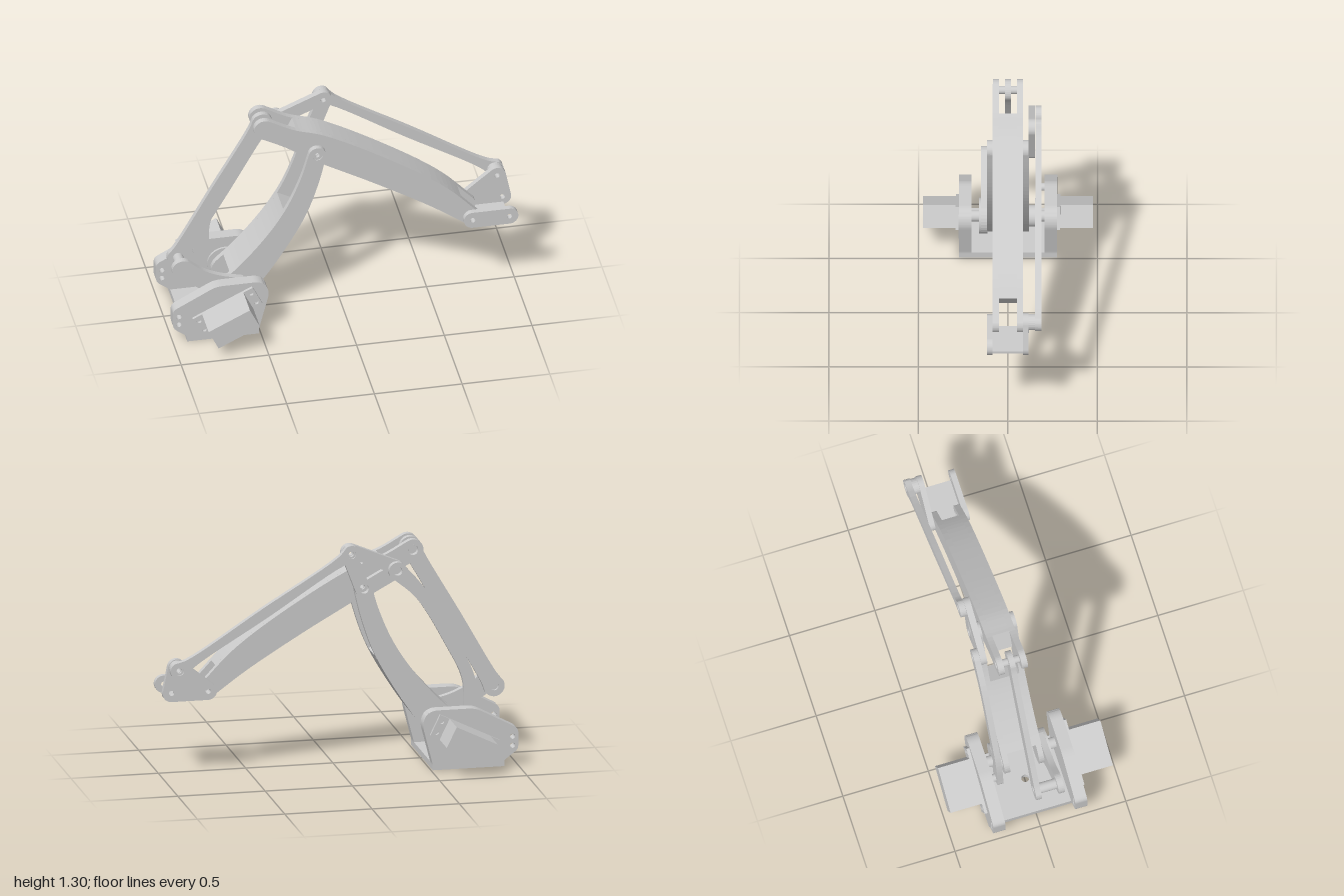
import * as THREE from 'three';

const material = new THREE.MeshStandardMaterial({ color: 0xcccccc });

function circle(x, y, r) {
  return new THREE.Path().absarc(x, y, r, 0, Math.PI * 2, true);
}

// Extrude a flat xy outline between two z values.
function plate(name, shape, z0, z1, holes = []) {
  for (const [x, y, r] of holes) shape.holes.push(circle(x, y, r));
  const geo = new THREE.ExtrudeGeometry(shape, { depth: z1 - z0, bevelEnabled: false, curveSegments: 12 });
  geo.translate(0, 0, z0);
  const mesh = new THREE.Mesh(geo, material);
  mesh.name = name;
  return mesh;
}

// Curved bar outline through stations [x, y, halfWidth]; full length gets round ends.
function bar(stations, t0 = 0, t1 = 1) {
  const curve = new THREE.CatmullRomCurve3(stations.map(s => new THREE.Vector3(...s)), false, 'centripetal');
  const N = 28, left = [], right = [], ends = [];
  for (let i = 0; i <= N; i++) {
    const t = t0 + (t1 - t0) * i / N;
    const p = curve.getPoint(t), d = curve.getTangent(t);
    const a = Math.atan2(d.y, d.x);
    const side = s => new THREE.Vector2(p.x - s * p.z * Math.sin(a), p.y + s * p.z * Math.cos(a));
    right.push(side(-1));
    left.unshift(side(1));
    if (i === 0 || i === N) ends.push({ p, a });
  }
  const cap = ({ p, a }, start) => Array.from({ length: 15 }, (_, i) => {
    const b = a + start + Math.PI * (i + 1) / 16;
    return new THREE.Vector2(p.x + p.z * Math.cos(b), p.y + p.z * Math.sin(b));
  });
  return new THREE.Shape([
    ...right, ...(t1 === 1 ? cap(ends[1], -Math.PI / 2) : []),
    ...left, ...(t0 === 0 ? cap(ends[0], Math.PI / 2) : [])
  ]);
}

// Straight rod with larger round eyes.
function rod(a, b, eye, half) {
  const at = (t, r) => [a[0] + (b[0] - a[0]) * t, a[1] + (b[1] - a[1]) * t, r];
  return bar([at(0, eye), at(0.06, half), at(0.5, half), at(0.94, half), at(1, eye)]);
}

// Rounded hull around counter-clockwise points.
function hull(pts, r) {
  const s = new THREE.Shape(), n = pts.length;
  const normal = (p, q) => Math.atan2(q[1] - p[1], q[0] - p[0]) - Math.PI / 2;
  pts.forEach((p, i) => {
    s.absarc(p[0], p[1], r, normal(pts[(i + n - 1) % n], p), normal(p, pts[(i + 1) % n]), false);
  });
  return s;
}

// Polygon with corners [x, y, cut] softened by curves.
function softPolygon(pts) {
  const s = new THREE.Shape(), n = pts.length;
  pts.forEach((p, i) => {
    const toward = q => {
      const k = p[2] / Math.hypot(q[0] - p[0], q[1] - p[1]);
      return [p[0] + (q[0] - p[0]) * k, p[1] + (q[1] - p[1]) * k];
    };
    const a = toward(pts[(i + n - 1) % n]), b = toward(pts[(i + 1) % n]);
    if (i) s.lineTo(...a); else s.moveTo(...a);
    s.quadraticCurveTo(p[0], p[1], ...b);
  });
  s.closePath();
  return s;
}

function pin(name, [x, y], r, z0, z1) {
  const mesh = new THREE.Mesh(new THREE.CylinderGeometry(r, r, z1 - z0, 32), material);
  mesh.rotation.x = Math.PI / 2;
  mesh.position.set(x, y, (z0 + z1) / 2);
  mesh.name = name;
  return mesh;
}

function tube(name, [x, y], r, inner, z0, z1) {
  return plate(name, new THREE.Shape().absarc(x, y, r, 0, Math.PI * 2, false), z0, z1, [[x, y, inner]]);
}

export function createModel() {
  const model = new THREE.Group();
  model.name = 'roboticArm';
  const add = (...m) => model.add(...m);

  // Joint centres
  const shoulder = [-0.62, 0.21], elbow = [-0.145, 1.04], armTail = [-0.44, 1.23];
  const leverEnd = [-0.92, 0.395], anchor = [-0.755, 0.31];
  const linkTop = [-0.33, 1.14], rockerTop = [-0.065, 1.252];
  const wrist = [0.74, 0.49], toolHole = [0.95, 0.49], wristTop = [0.92, 0.635];

  // Base floor with centre hole
  const floor = new THREE.Shape([[-0.92, -0.275], [-0.51, -0.275], [-0.51, 0.275], [-0.92, 0.275]].map(p => new THREE.Vector2(...p)));
  const base = plate('baseFloor', floor, 0, 0.035, [[-0.715, 0, 0.022]]);
  base.rotation.x = -Math.PI / 2;
  add(base);

  // Base cheeks with a servo on each outer side
  const cheek = [
    [-0.92, 0, 0.005], [-0.51, 0, 0.005], [-0.51, 0.035, 0.01], [-0.445, 0.29, 0.06],
    [-0.5, 0.345, 0.04], [-0.755, 0.345, 0.04], [-1, 0.215, 0.025], [-1, 0.095, 0.025], [-0.92, 0.035, 0.01]
  ];
  const earHoles = [];
  for (const u of [-0.165, 0.165]) for (const v of [-0.034, 0.034]) earHoles.push([u, v, 0.014]);
  for (const s of [1, -1]) {
    const span = (a, b) => s > 0 ? [a, b] : [-b, -a];
    add(plate('baseCheek', softPolygon(cheek), ...span(0.205, 0.275), [[-0.967, 0.17, 0.015], [-0.967, 0.118, 0.015]]));
    const servo = new THREE.Group();
    servo.name = 'servo';
    const ears = new THREE.Shape([[-0.19, -0.065], [0.19, -0.065], [0.19, 0.065], [-0.19, 0.065]].map(p => new THREE.Vector2(...p)));
    const body = new THREE.Mesh(new THREE.BoxGeometry(0.262, 0.13, 0.205), material);
    body.position.z = s * 0.3725;
    body.name = 'servoBody';
    servo.add(body, plate('servoEars', ears, ...span(0.272, 0.292), earHoles));
    servo.position.set(-0.692, 0.181, 0);
    servo.rotation.z = 0.454;
    add(servo);
    add(pin('servoShaft', shoulder, 0.032, ...span(0.16, 0.21)));
    add(pin('servoHorn', shoulder, 0.1, ...span(0.15, 0.163)));
  }
  add(pin('shoulderSpacer', shoulder, 0.06, -0.155, -0.11));

  // Lower arm: two curved plates joined by a web
  const lower = [[...shoulder, 0.09], [-0.52, 0.31, 0.085], [-0.365, 0.515, 0.07], [-0.26, 0.695, 0.062], [-0.185, 0.89, 0.054], [...elbow, 0.05]];
  for (const z of [-0.117, 0.085]) {
    add(plate('lowerArmPlate', bar(lower), z, z + 0.032, [[...elbow, 0.03]]));
    add(tube('elbowBush', elbow, 0.03, 0.014, z + 0.006, z + 0.026));
  }
  add(plate('lowerArmWeb', bar(lower, 0.08, 0.56), -0.086, 0.086));

  // Upper arm: solid core with forked ends
  const upper = [[...armTail, 0.06], [-0.3, 1.155, 0.06], [-0.14, 1.075, 0.084], [0.22, 0.87, 0.085], [0.54, 0.66, 0.073], [...wrist, 0.05]];
  const through = [[...elbow, 0.014]];
  add(plate('upperArmCore', bar(upper, 0.22, 0.9), -0.052, 0.052, through));
  add(plate('upperArmFork', bar(upper), 0.05, 0.085, [...through, [...wrist, 0.015]]));
  add(plate('upperArmFork', bar(upper), -0.085, -0.05, [...through, [...wrist, 0.015], [...armTail, 0.03]]));
  add(pin('tailPin', armTail, 0.022, -0.06, 0.06));

  // Drive lever and its straight push rod
  add(plate('driveLever', bar([[...shoulder, 0.1], [-0.73, 0.27, 0.068], [-0.82, 0.325, 0.055], [...leverEnd, 0.06]]), 0.115, 0.15));
  add(pin('leverPin', leverEnd, 0.03, 0, 0.12));
  add(plate('pushRod', rod(leverEnd, armTail, 0.06, 0.051), -0.016, 0.016, [[...leverEnd, 0.025]]));

  // Curved levelling link anchored to the base
  const link = [[...anchor, 0.045], [-0.735, 0.5, 0.035], [-0.635, 0.715, 0.035], [-0.465, 1, 0.036], [...linkTop, 0.05]];
  add(plate('levellingLink', bar(link), -0.187, -0.153, [[...linkTop, 0.026]]));
  add(pin('anchorPin', anchor, 0.022, -0.21, -0.16));

  // Triangular rocker at the elbow
  const corners = [elbow, rockerTop, linkTop];
  const rocker = hull(corners, 0.05);
  const cx = corners.reduce((a, p) => a + p[0] / 3, 0), cy = corners.reduce((a, p) => a + p[1] / 3, 0);
  rocker.holes.push(new THREE.Path(corners.map(p => new THREE.Vector2(cx + (p[0] - cx) * 0.5, cy + (p[1] - cy) * 0.5)).reverse()));
  add(plate('elbowRocker', rocker, -0.152, -0.116, [[...elbow, 0.028], [...rockerTop, 0.015]]));

  // Long levelling rod to the wrist
  add(plate('wristRod', rod(rockerTop, wristTop, 0.05, 0.03), -0.188, -0.153, [[...rockerTop, 0.026], [...wristTop, 0.026]]));
  for (const p of [rockerTop, wristTop]) add(tube('rodBush', p, 0.027, 0.015, -0.18, -0.16));
  add(tube('wristSpacer', wristTop, 0.045, 0.015, -0.155, -0.115));

  // Wrist bracket: floor and two cheeks
  const boltHoles = [[...wrist, 0.015], [...toolHole, 0.015]];
  add(plate('wristCheek', hull([wrist, toolHole], 0.05), 0.085, 0.117, boltHoles));
  add(plate('wristCheek', hull([wrist, toolHole, wristTop], 0.05), -0.117, -0.085, [...boltHoles, [...wristTop, 0.015]]));
  const wristFloor = new THREE.Mesh(new THREE.BoxGeometry(0.235, 0.016, 0.172), material);
  wristFloor.position.set(0.8375, 0.448, 0);
  wristFloor.name = 'wristFloor';
  add(wristFloor);

  return model;
}
